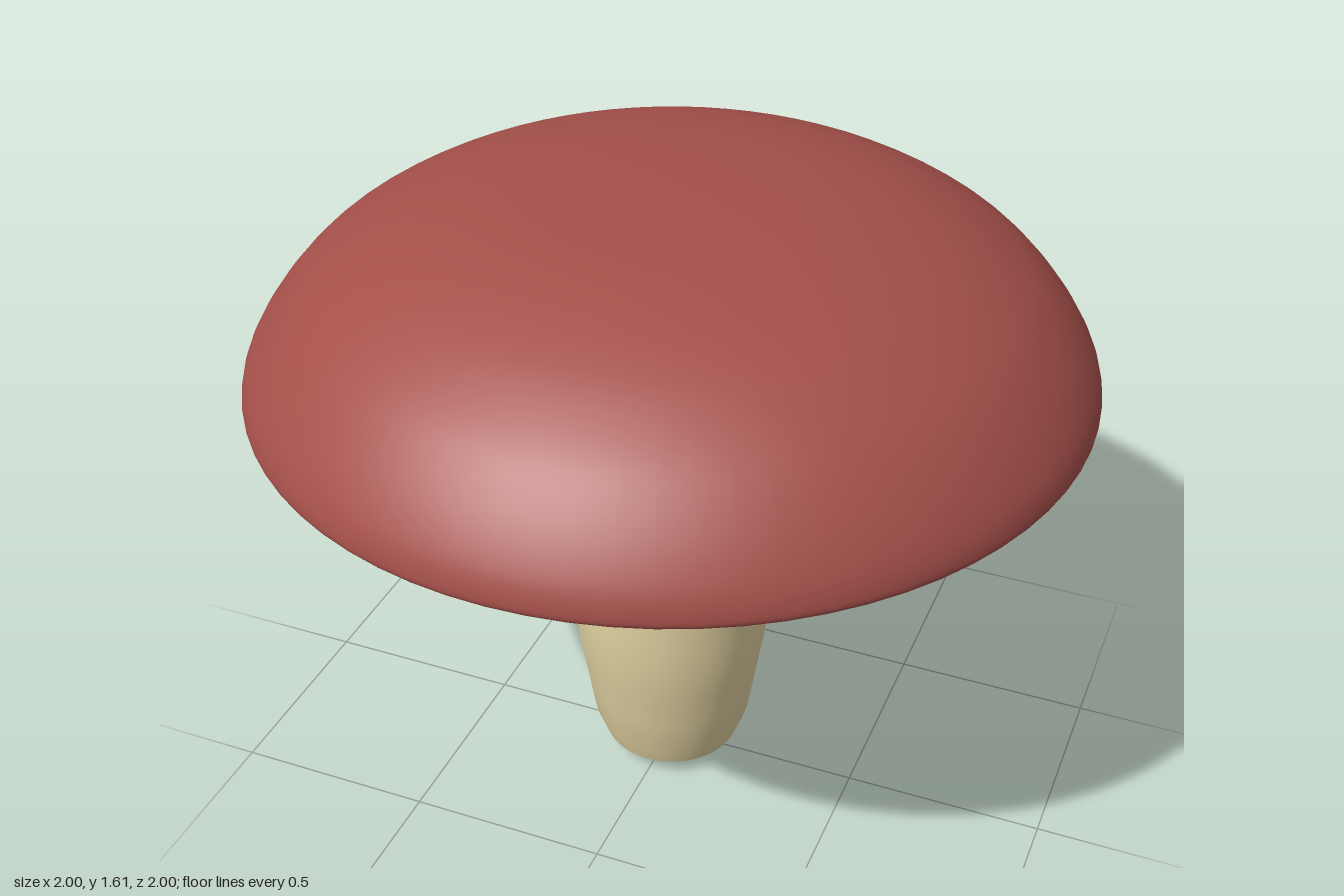
import * as THREE from 'three';

const red = new THREE.MeshStandardMaterial({ name: 'cap red', color: 0xa5504a });
const cream = new THREE.MeshStandardMaterial({ name: 'stem cream', color: 0xdfcf9f });
const black = new THREE.MeshStandardMaterial({ name: 'patch black', color: 0x020202 });

function lathe(name, points, material, smooth = 0) {
  let profile = points.map(([x, y]) => new THREE.Vector2(x, y));
  if (smooth) profile = new THREE.SplineCurve(profile).getPoints(smooth);
  profile.forEach((p) => { p.x = Math.max(0, p.x); });
  const mesh = new THREE.Mesh(new THREE.LatheGeometry(profile, 72), material);
  mesh.name = name;
  return mesh;
}

// Piecewise-linear lookup in a table of [key, value] pairs
function lookup(table, k) {
  for (let i = 1; i < table.length; i++) {
    const [a, va] = table[i - 1], [b, vb] = table[i];
    if (k <= b) return va + (vb - va) * Math.max(0, (k - a) / (b - a));
  }
  return table[table.length - 1][1];
}

// Stem radius by height
const FOOT = 0.045, TOP = 1.24;
const STEM = [[FOOT, 0.174], [0.12, 0.202], [0.38, 0.243], [0.585, 0.243], [0.76, 0.229],
  [0.9, 0.217], [1.0, 0.212], [1.12, 0.21], [1.18, 0.217], [TOP, 0.228]];
// Lower edge of the black patch by angle, from the back round by -x
const SEAM = 11;
const EDGE = [[SEAM, 0.12], [21, 0.25], [40, 0.44], [55, 0.575], [74, 0.745], [83, 0.83], [90, 0.885],
  [102, 0.93], [115, 0.965], [125, 0.99], [137, 1.025], [150, 1.052], [165, 1.073], [180, 1.086],
  [210, 1.102], [240, 1.112], [270, 1.116], [300, 1.103], [330, 1.07], [350, 1.035], [SEAM + 360, 0.995]];

// One side band of the stem, between two heights that vary with the angle
function stemBand(name, low, high, material) {
  const cols = 90, rows = 40, pos = [], nor = [], idx = [];
  for (let i = 0; i <= cols; i++) {
    const deg = SEAM + (360 * i) / cols;
    const sx = -Math.sin((deg * Math.PI) / 180), sz = -Math.cos((deg * Math.PI) / 180);
    for (let j = 0; j <= rows; j++) {
      const y = low(deg) + ((high(deg) - low(deg)) * j) / rows;
      const r = lookup(STEM, y);
      const a = Math.max(FOOT, y - 0.09), b = Math.min(TOP, y + 0.09);
      const slope = (lookup(STEM, b) - lookup(STEM, a)) / (b - a);
      const n = new THREE.Vector3(sx, -slope, sz).normalize();
      pos.push(sx * r, y, sz * r);
      nor.push(n.x, n.y, n.z);
      if (i < cols && j < rows) {
        const p = i * (rows + 1) + j, q = p + rows + 1;
        idx.push(p, q, q + 1, p, q + 1, p + 1);
      }
    }
  }
  const geo = new THREE.BufferGeometry();
  geo.setAttribute('position', new THREE.Float32BufferAttribute(pos, 3));
  geo.setAttribute('normal', new THREE.Float32BufferAttribute(nor, 3));
  geo.setIndex(idx);
  const mesh = new THREE.Mesh(geo, material);
  mesh.name = name;
  return mesh;
}

export function createModel() {
  const model = new THREE.Group();
  model.name = 'mushroom';

  // Cap dome with its rolled lip
  model.add(lathe('capDome', [[0.91, 1.175], [0.93, 1.148], [0.965, 1.139], [0.992, 1.142], [1, 1.165],
    [0.983, 1.222], [0.935, 1.3], [0.87, 1.376], [0.8, 1.434], [0.7, 1.493], [0.6, 1.535], [0.5, 1.565],
    [0.4, 1.585], [0.3, 1.596], [0.15, 1.603], [0, 1.605]], red, 80));

  // Deep hollow underside, flaring down to a collar round the stem
  model.add(lathe('capUnderside', [[0.21, 1.205], [0.235, 1.218], [0.265, 1.25], [0.295, 1.292], [0.33, 1.332],
    [0.38, 1.368], [0.45, 1.393], [0.53, 1.4], [0.62, 1.39], [0.71, 1.36], [0.79, 1.318], [0.86, 1.257],
    [0.91, 1.175]], cream, 60));

  // Stem: rounded foot, cream side and black patch
  model.add(lathe('stemFoot', [[0, 0], [0.06, 0.002], [0.11, 0.01], [0.15, 0.025], [0.174, FOOT]], cream));
  const edge = (deg) => lookup(EDGE, deg);
  model.add(stemBand('stemSide', () => FOOT, edge, cream));
  model.add(stemBand('stemBlackPatch', edge, () => TOP, black));

  return model;
}
